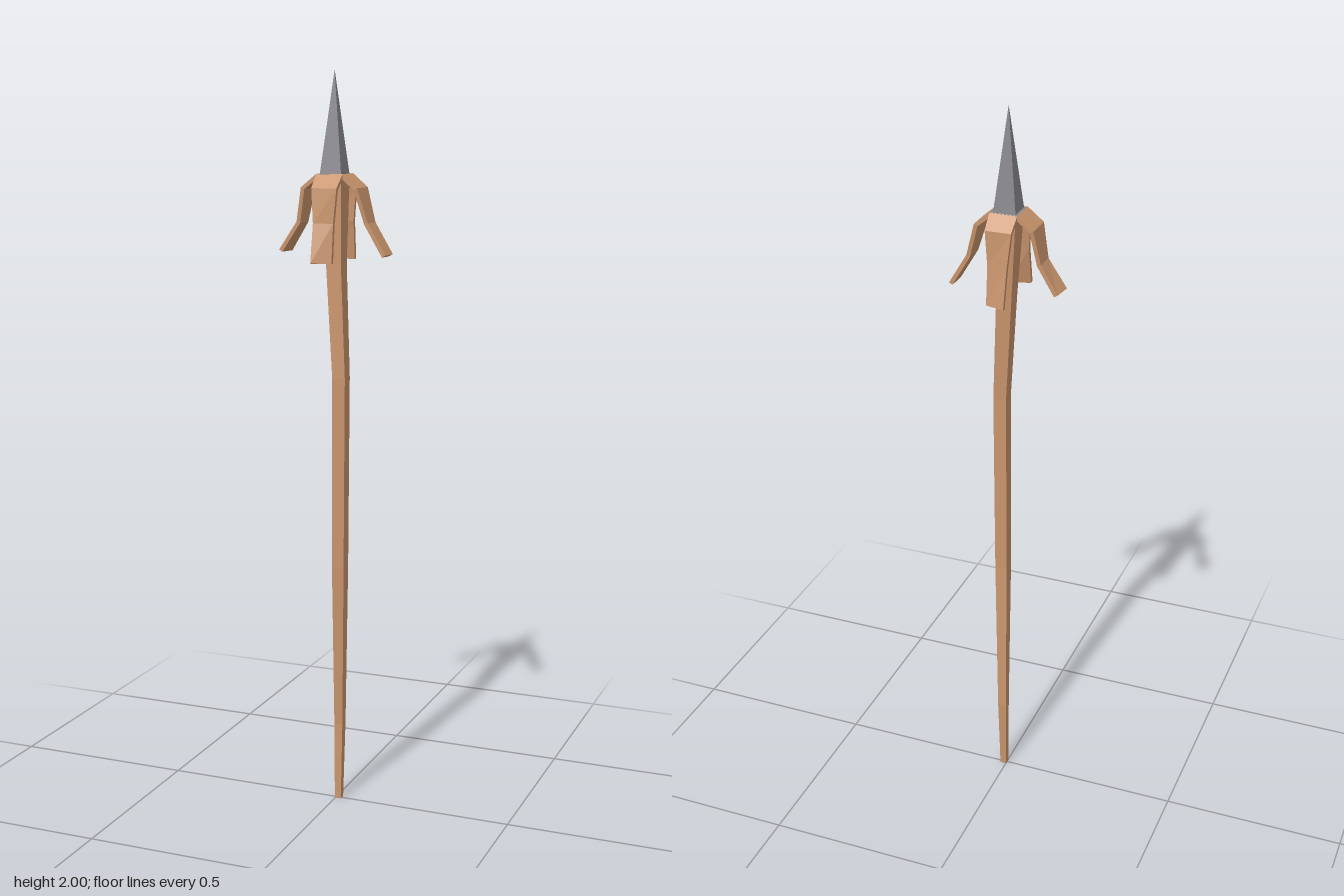
import * as THREE from 'three';

const wood = new THREE.MeshStandardMaterial({ color: 0xc8946c });
wood.name = 'tan wood and leather';
const steel = new THREE.MeshStandardMaterial({ color: 0x88888c });
steel.name = 'grey steel';

// Flat-faced solid through four-cornered sections, each counterclockwise about the path
function loft(sections) {
  const pos = [];
  const quad = (a, b, c, d) => pos.push(...a, ...b, ...c, ...a, ...c, ...d);
  for (let s = 0; s < sections.length - 1; s++) {
    const p = sections[s], q = sections[s + 1];
    for (let i = 0; i < 4; i++) {
      const j = (i + 1) % 4;
      quad(p[i], p[j], q[j], q[i]);
    }
  }
  const first = sections[0], last = sections[sections.length - 1];
  quad(first[3], first[2], first[1], first[0]);
  quad(...last);
  const geometry = new THREE.BufferGeometry();
  geometry.setAttribute('position', new THREE.Float32BufferAttribute(pos, 3));
  geometry.computeVertexNormals();
  return geometry;
}

function addMesh(parent, name, geometry, material) {
  const mesh = new THREE.Mesh(geometry, material);
  mesh.name = name;
  parent.add(mesh);
  return mesh;
}

// Strap hanging towards +z; rows are [outward distance, y, half width, skew]
function strapGeometry(rows, thickness = 0.011) {
  return loft(rows.map(([z, y, w, skew = 0], i) => {
    const a = rows[Math.max(i - 1, 0)], b = rows[Math.min(i + 1, rows.length - 1)];
    const dz = b[0] - a[0], dy = b[1] - a[1], len = Math.hypot(dz, dy);
    const nz = (-dy / len) * thickness, ny = (dz / len) * thickness;
    return [
      [-w, y - ny, z - nz - skew], [w, y - ny, z - nz + skew],
      [w, y, z + skew], [-w, y, z - skew],
    ];
  }));
}

export function createModel() {
  const model = new THREE.Group();
  model.name = 'spear';

  // Crooked shaft: [y, centre x, centre z, half width]
  const shaftRows = [
    [0, 0.008, 0, 0.009],
    [0.22, 0.008, -0.007, 0.012],
    [0.68, 0.018, 0.018, 0.017],
    [1.2, 0.022, 0.022, 0.018],
    [1.5, 0.004, 0.01, 0.021],
    [1.728, -0.005, 0, 0.03],
  ];
  addMesh(model, 'shaft', loft(shaftRows.map(([y, x, z, h]) => [
    [x - h, y, z - h], [x - h, y, z + h], [x + h, y, z + h], [x + h, y, z - h],
  ])), wood);

  const head = new THREE.Group();
  head.name = 'head';
  head.position.x = -0.005;
  model.add(head);

  // Four-sided point on its square seat
  const point = new THREE.ConeGeometry(0.03 * Math.SQRT2, 0.267, 4, 1).toNonIndexed();
  point.rotateY(Math.PI / 4);
  point.computeVertexNormals();
  addMesh(head, 'spearPoint', point, steel).position.y = 1.8665;
  addMesh(head, 'pointSeat', new THREE.BoxGeometry(0.074, 0.008, 0.076), steel).position.y = 1.7305;

  // Four bent straps around the seat
  const straps = [
    ['frontStrap', 0, [[0.037, 1.735, 0.037], [0.075, 1.7, 0.035], [0.081, 1.61, 0.027, -0.003], [0.096, 1.508, 0.026, -0.009]]],
    ['leftStrap', Math.PI / 2, [[0.037, 1.735, 0.038], [0.078, 1.7, 0.039], [0.104, 1.61, 0.028], [0.153, 1.528, 0.028]]],
    ['backStrap', Math.PI, [[0.037, 1.735, 0.037], [0.074, 1.7, 0.035], [0.081, 1.61, 0.027, 0.003], [0.098, 1.508, 0.026, 0.008]]],
    ['rightStrap', -Math.PI / 2, [[0.037, 1.735, 0.037], [0.08, 1.7, 0.038], [0.097, 1.61, 0.028], [0.145, 1.535, 0.027, 0.003]]],
  ];
  for (const [name, angle, rows] of straps) {
    addMesh(head, name, strapGeometry(rows), wood).rotation.y = angle;
  }
  return model;
}
